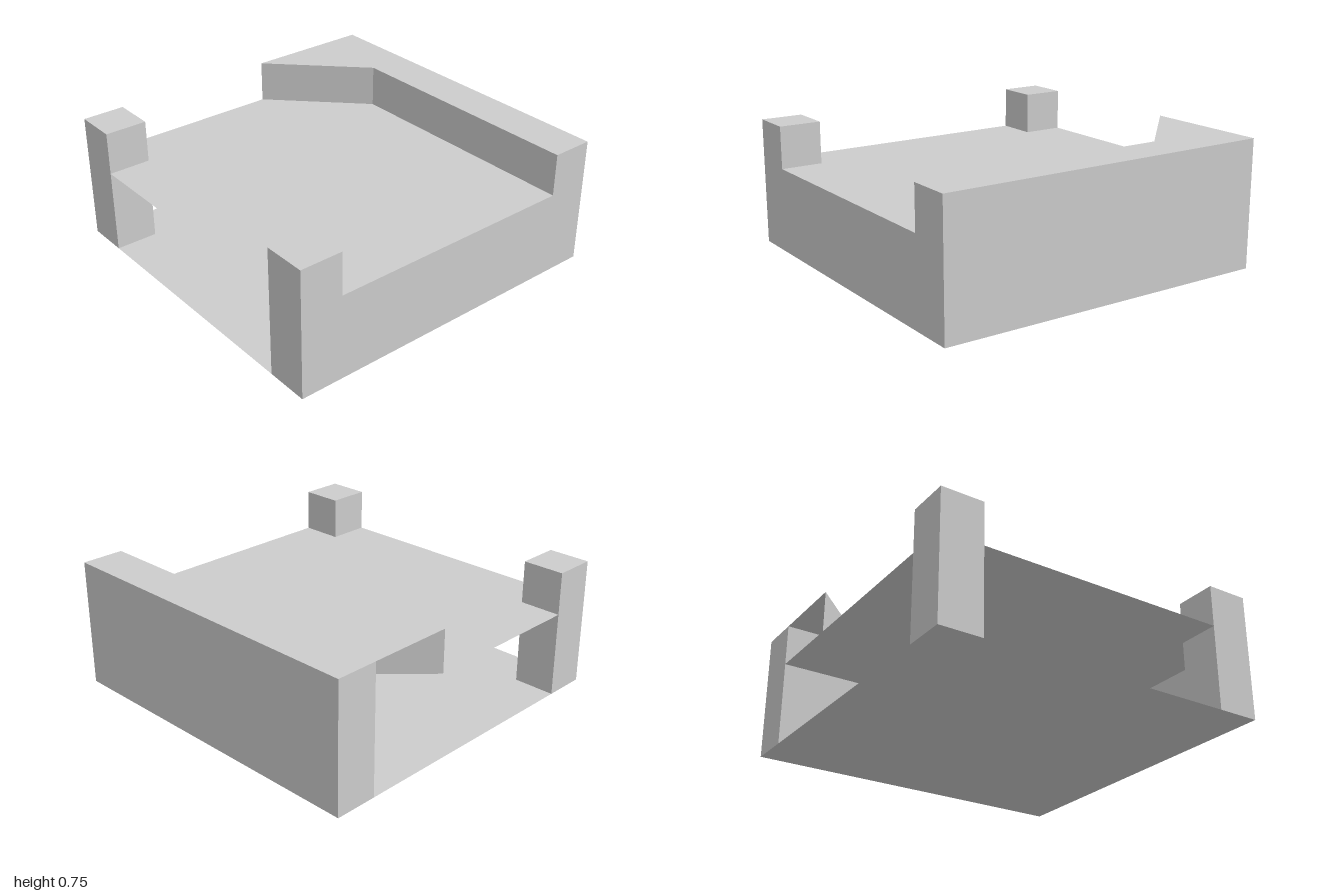
import * as THREE from 'three';

export function createModel() {
  const model = new THREE.Group();
  const grey = new THREE.MeshStandardMaterial({ color: 0xcccccc, side: THREE.DoubleSide });
  grey.name = 'plain grey';

  const add = (name, geometry, x, y, z) => {
    const mesh = new THREE.Mesh(geometry, grey);
    mesh.name = name;
    mesh.position.set(x, y, z);
    model.add(mesh);
    return mesh;
  };

  // Horizontal sheet facing up, outlined by [x, z] points
  const sheet = (points) => {
    const shape = new THREE.Shape(points.map(([x, z]) => new THREE.Vector2(x, -z)));
    return new THREE.ShapeGeometry(shape).rotateX(-Math.PI / 2);
  };

  // Floor and deck, notched around the corner posts and ending at the side wall
  const outline = [
    [-1, 0.75], [-0.75, 0.75], [-0.75, 1], [0.75, 1],
    [0.75, -1], [-0.75, -1], [-0.75, -0.75], [-1, -0.75],
  ];
  add('floor', sheet(outline), 0, 0, 0);
  add('deck', sheet(outline), 0, 0.5, 0);

  // Corner posts on the open side
  const postGeometry = new THREE.BoxGeometry(0.25, 0.75, 0.25);
  add('frontPost', postGeometry, -0.875, 0.375, 0.875);
  add('backPost', postGeometry, -0.875, 0.375, -0.875);

  // Solid side wall and thin front panel
  add('sideWall', new THREE.BoxGeometry(0.25, 0.75, 2), 0.875, 0.375, 0);
  add('frontPanel', new THREE.PlaneGeometry(1.5, 0.5), 0, 0.25, 1);

  // Corner bracket: triangular cap and diagonal face, open at the back
  add('bracketCap', sheet([[0.25, -1], [0.75, -0.5], [0.75, -1]]), 0, 0.75, 0);
  const diagonal = new THREE.PlaneGeometry(Math.SQRT1_2, 0.25);
  add('bracketFace', diagonal, 0.5, 0.625, -0.75).rotation.y = -Math.PI / 4;

  return model;
}
